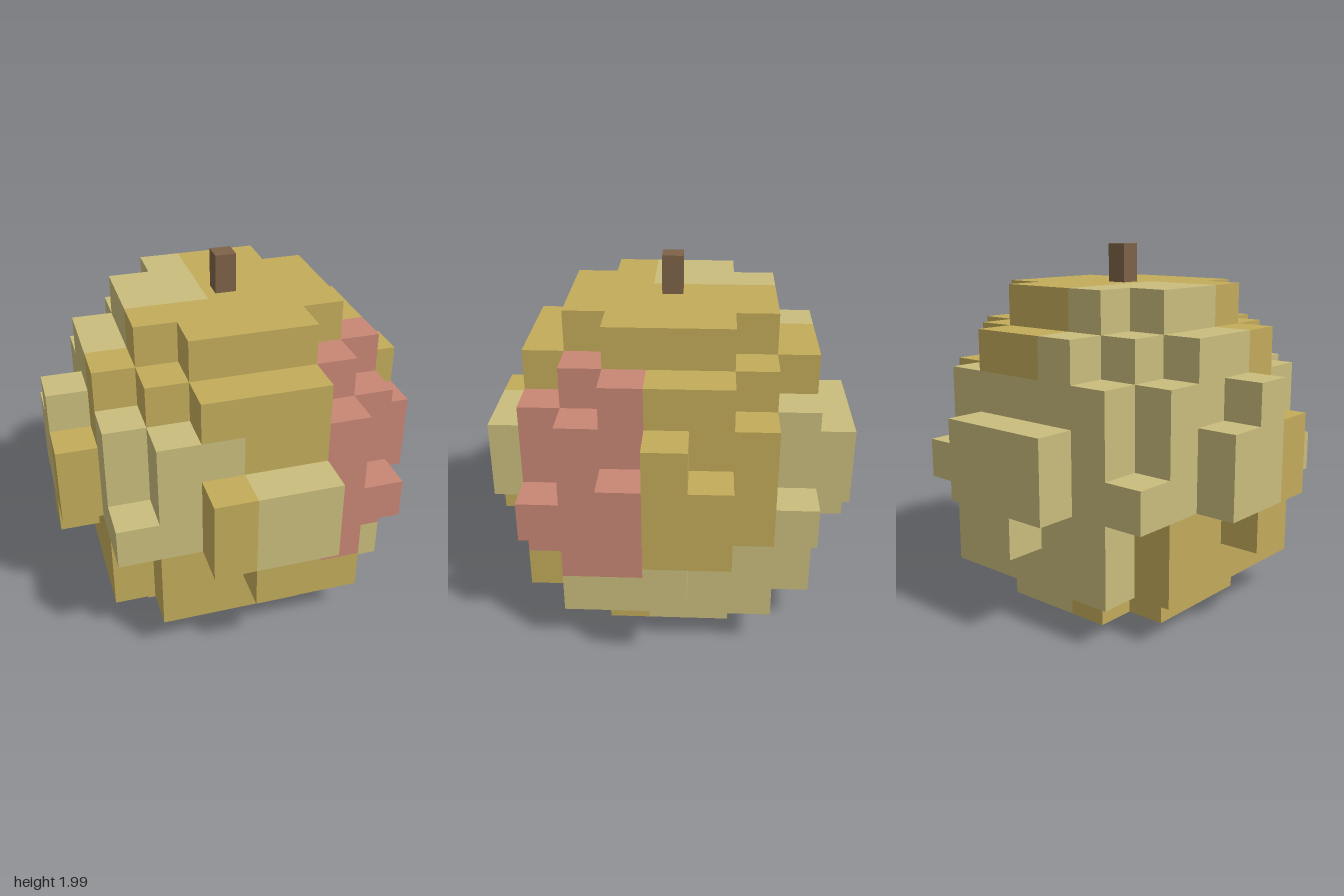
import * as THREE from 'three';
import { mergeGeometries } from 'three/addons/utils/BufferGeometryUtils.js';

const U = 2 / 9; // size of one block

const material = (name, color) => {
  const m = new THREE.MeshStandardMaterial({ color });
  m.name = name;
  return m;
};

// Is block (i, j, k) = (column in x, layer in y, column in z) part of the fruit?
function filled(i, j, k) {
  if (j < 0 || j > 7) return false;
  const a = Math.abs(i - 4), b = Math.abs(k - 4);
  const hi = Math.max(a, b), lo = Math.min(a, b);
  // bulges on the four sides; the side ones have an extra block on top
  if (hi === 4) {
    if (j === 3 || j === 4) return lo <= 1;
    return lo === 0 && (j === 2 || (j === 5 && a === 4));
  }
  if (hi > 4) return false;
  if (j === 0 || j === 7) return hi <= 2 && a + b < 4;
  if (j === 6) return hi <= 2 || lo <= 1;
  return j === 3 || a + b < 6; // only the middle layer keeps its corners
}

// Skin patches
function skin(i, j, k) {
  if (i >= 6 && k >= 5 && j >= 2 && j <= 6) return 'blush';
  const pale =
    (k <= 1 && j >= 1 && j <= 5) ||                                // back
    (i <= 3 && k <= 4 && j >= 3) ||                                // upper back right
    (i >= 4 && k <= 4 && j <= 2) ||                                // lower back left
    (i >= 7 && k >= 5 && j === 1) ||                               // below the blush
    (i >= 1 && i <= 3 && k >= 6 && k <= 7 && j >= 3 && j <= 5) ||  // front right
    (i >= 4 && k === 8 && j >= 3);                                 // front bulge
  return pale ? 'paleSkin' : 'skin';
}

// Face directions with the turn that brings a +z plane to each
const FACES = [
  [0, 0, 1, 0, 0],
  [0, 0, -1, 0, Math.PI],
  [1, 0, 0, 0, Math.PI / 2],
  [-1, 0, 0, 0, -Math.PI / 2],
  [0, 1, 0, -Math.PI / 2, 0],
  [0, -1, 0, Math.PI / 2, 0],
];

export function createModel() {
  const group = new THREE.Group();
  group.name = 'blockFruit';

  const materials = {
    skin: material('ochre', 0xc2ab5a),
    paleSkin: material('paleTan', 0xc9bc7d),
    blush: material('dustyPink', 0xc88775),
  };

  // Gather the exposed block faces for each skin colour
  const parts = { skin: [], paleSkin: [], blush: [] };
  for (let i = 0; i < 9; i++)
    for (let j = 0; j < 8; j++)
      for (let k = 0; k < 9; k++) {
        if (!filled(i, j, k)) continue;
        for (const [dx, dy, dz, rx, ry] of FACES) {
          if (filled(i + dx, j + dy, k + dz)) continue;
          const face = new THREE.PlaneGeometry(U, U).rotateX(rx).rotateY(ry);
          face.translate((i - 4 + dx / 2) * U, (j + 0.5 + dy / 2) * U, (k - 4 + dz / 2) * U);
          parts[skin(i, j, k)].push(face);
        }
      }
  for (const name in parts) {
    const mesh = new THREE.Mesh(mergeGeometries(parts[name]), materials[name]);
    mesh.name = name;
    group.add(mesh);
  }

  // Stem
  const stem = new THREE.Mesh(new THREE.BoxGeometry(0.112, 0.21, 0.112), material('brown', 0x7d6247));
  stem.name = 'stem';
  stem.position.y = 8 * U + 0.105;
  group.add(stem);

  return group;
}
